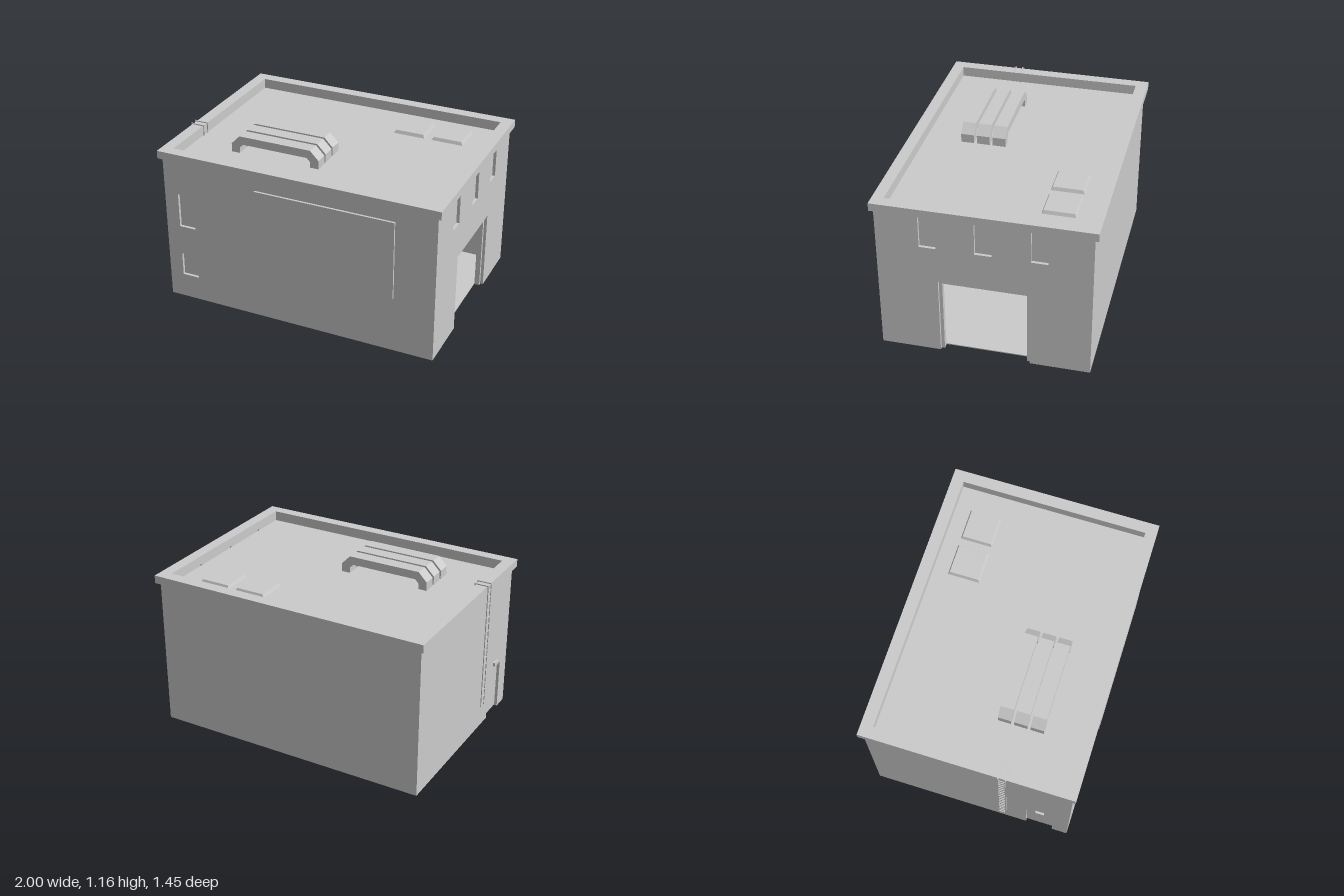
import * as THREE from 'three';

const grey = new THREE.MeshStandardMaterial({ color: 0xcccccc, flatShading: true, side: THREE.DoubleSide });
const T = 0.055;                      // wall thickness
const X0 = -0.965, X1 = 0.975, Z = 0.70, H = 1.05;
const ROOF = 1.035;

function add(parent, name, geometry) {
  const mesh = new THREE.Mesh(geometry, grey);
  mesh.name = name;
  parent.add(mesh);
  return mesh;
}

// Box given by its limits on each axis
function box(parent, name, x0, x1, y0, y1, z0, z1) {
  const g = new THREE.BoxGeometry(x1 - x0, y1 - y0, z1 - z0);
  g.translate((x0 + x1) / 2, (y0 + y1) / 2, (z0 + z1) / 2);
  return add(parent, name, g);
}

function polygon(points) {
  return new THREE.Shape(points.map(([x, y]) => new THREE.Vector2(x, y)));
}

const rect = (a, b, c, d) => [[a, c], [b, c], [b, d], [a, d]];

// Upright wall with an optional doorway [from, to, height] and window holes
function wall(a, b, doorway, windows) {
  const outline = [[a, 0]];
  if (doorway) {
    const [d0, d1, h] = doorway;
    outline.push([d0, 0], [d0, h], [d1, h], [d1, 0]);
  }
  outline.push([b, 0], [b, H], [a, H]);
  const shape = polygon(outline);
  for (const w of windows) shape.holes.push(polygon(rect(...w)));
  return new THREE.ExtrudeGeometry(shape, { depth: T, bevelEnabled: false });
}

export function createModel() {
  const model = new THREE.Group();
  model.name = 'garageBuilding';

  // Walls
  const frontWindows = [[-0.865, -0.745, 0.555, 0.80], [-0.865, -0.745, 0.175, 0.34]];
  add(model, 'frontWall', wall(X0, X1, null, frontWindows)).position.z = Z - T;
  box(model, 'backWall', X0, X1, 0, H, -Z, -Z + T);

  const sideWindows = [-0.36, 0, 0.36].map(c => [c - 0.055, c + 0.055, 0.81, 1.045]);
  const right = add(model, 'garageWall', wall(-Z + T, Z - T, [-0.30, 0.30, 0.555], sideWindows));
  right.rotation.y = Math.PI / 2;
  right.position.x = X1 - T;

  const left = add(model, 'ladderWall', wall(-Z + T, Z - T, [0.40, 0.59, 0.36], []));
  left.rotation.y = -Math.PI / 2;
  left.position.x = X0 + T;

  // Recessed window panes and side door
  for (const [a, b, c, d] of frontWindows) box(model, 'frontPane', a, b, c, d, Z - 0.04, Z - 0.02);
  for (const [a, b, c, d] of sideWindows) box(model, 'sidePane', X1 - 0.04, X1 - 0.02, c, d, a, b);
  box(model, 'sideDoor', X0 + 0.02, X0 + 0.04, 0.005, 0.36, 0.40, 0.59);
  box(model, 'doorLamp', X0 - 0.015, X0, 0.385, 0.41, 0.465, 0.525);

  // Floor, roof slab and parapet cap
  box(model, 'floor', X0 + T, X1 - T, 0.005, 0.012, -Z + T, Z - T);
  box(model, 'roof', X0 + T, X1 - T, ROOF - 0.04, ROOF, -Z + T, Z - T);
  const cap = polygon(rect(-0.99, 1.0, -0.722, 0.727));
  cap.holes.push(polygon(rect(-0.91, 0.92, -0.645, 0.645)));
  const capGeometry = new THREE.ExtrudeGeometry(cap, { depth: 0.055, bevelEnabled: false });
  capGeometry.rotateX(-Math.PI / 2);
  add(model, 'parapetCap', capGeometry).position.y = H;

  // Blank sign panel on the front
  box(model, 'signPanel', -0.28, 0.695, 0.40, 0.955, Z, Z + 0.015);

  // Garage door frame, set back in its opening
  const garage = new THREE.Group();
  garage.name = 'garageDoor';
  model.add(garage);
  for (const s of [-1, 1]) {
    box(garage, 'doorPost', X1 - T, X1 - 0.02, 0, 0.555, s > 0 ? 0.278 : -0.30, s > 0 ? 0.30 : -0.278);
  }
  box(garage, 'doorLintel', X1 - T, X1 - 0.02, 0.532, 0.555, -0.278, 0.278);

  // Open overhead door: overlapping slats falling gently inwards
  const slats = 6, slatLength = 0.092;
  for (let i = 0; i < slats; i++) {
    const slat = add(garage, 'doorSlat', new THREE.BoxGeometry(slatLength, 0.01, 0.556));
    slat.position.set(X1 - T - slatLength * (i + 0.5), 0.52 - i * 0.0075, 0);
    slat.rotation.z = 0.14;
  }

  // Three arched roof ducts with chamfered shoulders
  const duct = polygon([
    [-0.61, ROOF], [-0.55, ROOF], [-0.55, 1.075], [-0.525, 1.1], [-0.055, 1.1], [-0.03, 1.075],
    [-0.03, ROOF], [0.03, ROOF], [0.03, 1.095], [-0.03, 1.157], [-0.55, 1.157], [-0.61, 1.095],
  ]);
  const ductGeometry = new THREE.ExtrudeGeometry(duct, { depth: 0.09, bevelEnabled: false });
  for (let i = 0; i < 3; i++) add(model, 'roofDuct', ductGeometry).position.z = 0.09 + i * 0.109;

  // Two low roof hatches with sloping edges
  for (const x of [0.375, 0.65]) {
    const g = new THREE.CylinderGeometry(0.1 * Math.SQRT2, 0.11 * Math.SQRT2, 0.022, 4);
    g.rotateY(Math.PI / 4);
    add(model, 'roofHatch', g).position.set(x, ROOF + 0.011, -0.43);
  }

  // Ladder whose rails hook over the parapet
  const ladder = new THREE.Group();
  ladder.name = 'ladder';
  model.add(ladder);
  for (const z of [0.212, 0.262]) {
    box(ladder, 'rail', -1.0, -0.994, 0.195, 1.112, z - 0.004, z + 0.004);
    box(ladder, 'railHook', -1.0, -0.90, 1.105, 1.112, z - 0.004, z + 0.004);
    box(ladder, 'railEnd', -0.906, -0.90, ROOF, 1.112, z - 0.004, z + 0.004);
  }
  for (let i = 0; i < 18; i++) {
    const y = 0.215 + i * 0.05;
    box(ladder, 'rung', -1.0, -0.994, y, y + 0.007, 0.212, 0.262);
  }

  return model;
}
